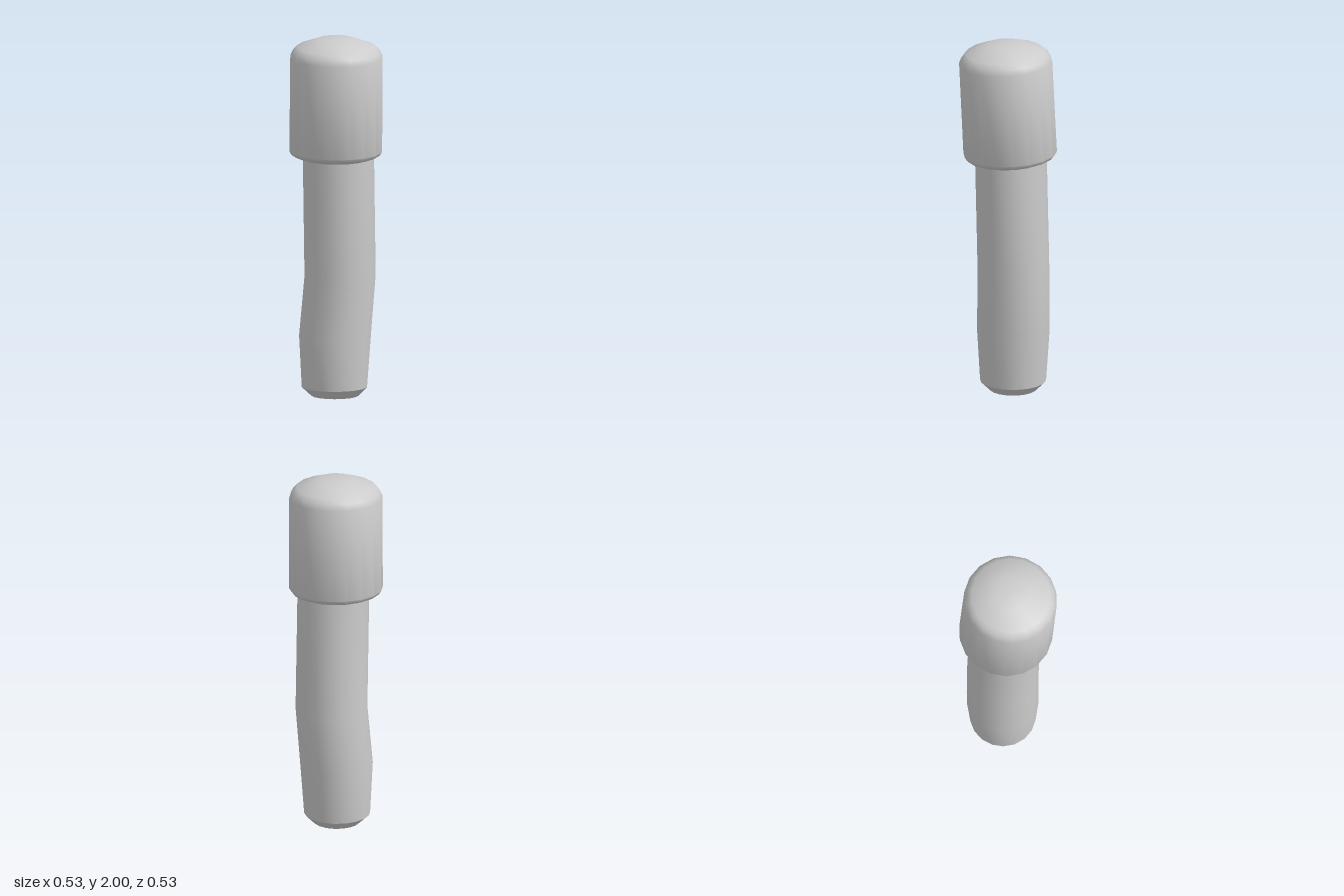
import * as THREE from 'three';
import { toCreasedNormals } from 'three/addons/utils/BufferGeometryUtils.js';

const SIDES = 18;
const material = new THREE.MeshStandardMaterial({ color: 0xcccccc });

// Turned solid from [radius, y] pairs, listed from bottom to top
function turned(profile) {
  const points = profile.map(([r, y]) => new THREE.Vector2(r, y));
  return new THREE.LatheGeometry(points, SIDES, Math.PI / 2);
}

function part(name, geometry) {
  const mesh = new THREE.Mesh(toCreasedNormals(geometry, 0.65), material);
  mesh.name = name;
  return mesh;
}

export function createModel() {
  const group = new THREE.Group();
  group.name = 'bentPeg';

  // Bent shaft: [radius, y, centre x, centre z] for each ring
  const rings = [
    [0, 0, -0.022, -0.019],
    [0.13, 0, -0.022, -0.019],
    [0.182, 0.05, -0.024, -0.018],
    [0.2, 0.34, -0.022, -0.021],
    [0.198, 0.67, 0, -0.038],
    [0.198, 1.36, 0, -0.02],
    [0, 1.36, 0, -0.02],
  ];
  const shaft = turned(rings);
  const pos = shaft.attributes.position;
  for (let i = 0; i < pos.count; i++) {
    const [, , cx, cz] = rings[i % rings.length];
    pos.setX(i, pos.getX(i) + cx);
    pos.setZ(i, pos.getZ(i) + cz);
  }
  group.add(part('shaft', shaft));

  // Wide cap with a domed top and bevelled underside, tilted slightly
  const cap = part('cap', turned([
    [0, -0.295],
    [0.208, -0.295],
    [0.245, -0.28],
    [0.258, -0.26],
    [0.257, 0.265],
    [0.243, 0.297],
    [0.217, 0.324],
    [0.1, 0.368],
    [0, 0.368],
  ]));
  cap.position.set(-0.002, 1.63, 0.001);
  cap.rotation.set(0.037, 0, -0.03);
  group.add(cap);

  return group;
}
